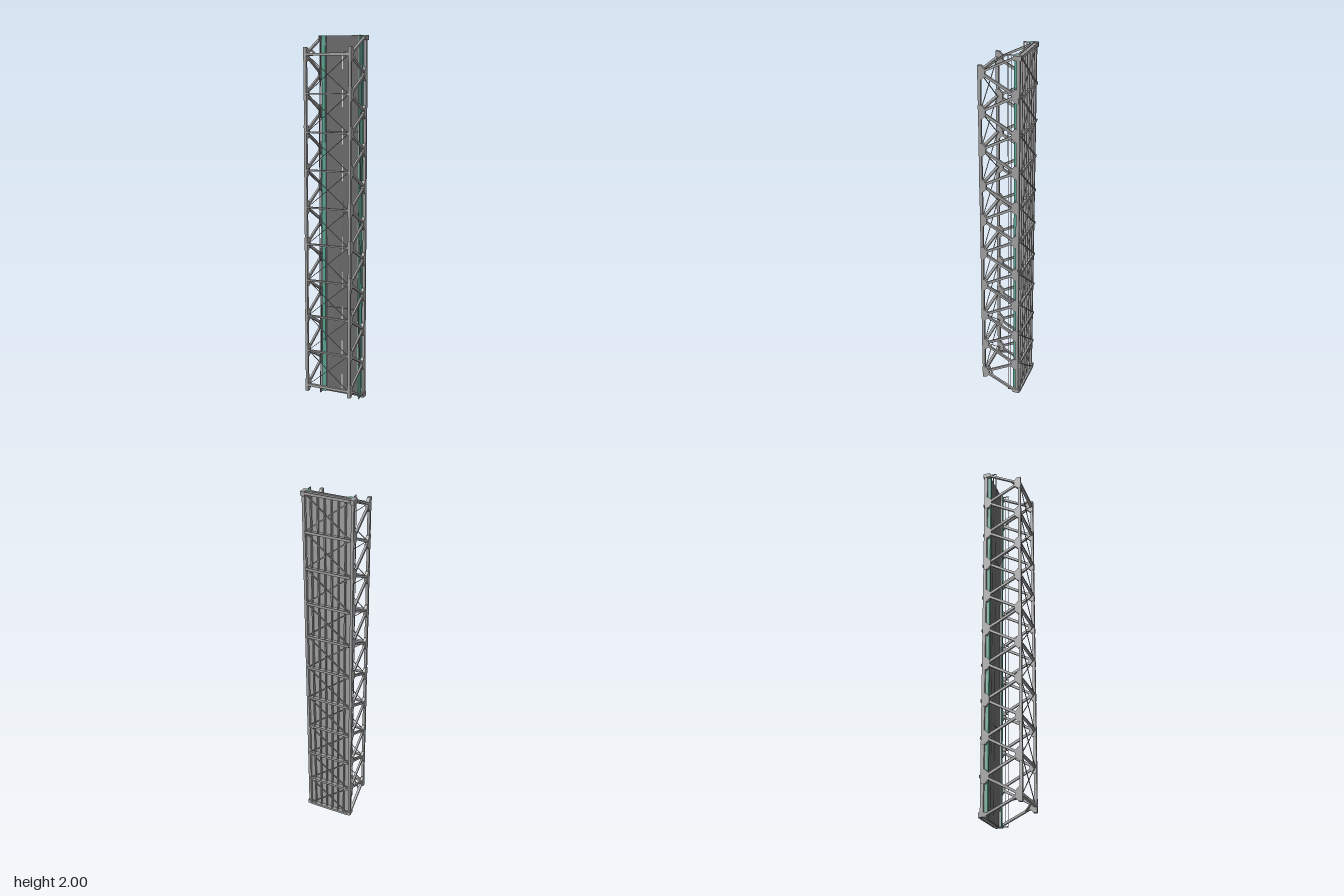
import * as THREE from 'three';

const mat = (name, color) => Object.assign(new THREE.MeshStandardMaterial({ color }), { name });

export function createModel() {
  const steel = mat('steel grey', 0x9c9c9c);
  const asphalt = mat('asphalt grey', 0x666666);
  const green = mat('walkway green', 0x53a08c);
  const white = mat('lane marking', 0xd4d4d4);
  const dark = mat('joint dark', 0x3c3c3c);

  const model = new THREE.Group();
  model.name = 'trussBridge';

  const V = (x, y, z) => new THREE.Vector3(x, y, z);
  const X = V(1, 0, 0), Z = V(0, 0, 1);

  function box(name, material, w, h, d, x, y, z, parent = model) {
    const m = new THREE.Mesh(new THREE.BoxGeometry(w, h, d), material);
    m.name = name;
    m.position.set(x, y, z);
    parent.add(m);
    return m;
  }

  // Straight member from a to b; t is its size along "up", w its size across
  function bar(name, a, b, t, w, up, parent = model) {
    const dir = b.clone().sub(a);
    const m = new THREE.Mesh(new THREE.BoxGeometry(w, t, dir.length()), steel);
    m.name = name;
    m.position.copy(a).add(b).multiplyScalar(0.5);
    dir.normalize();
    const side = up.clone().cross(dir).normalize();
    m.quaternion.setFromRotationMatrix(new THREE.Matrix4().makeBasis(side, dir.clone().cross(side), dir));
    parent.add(m);
    return m;
  }

  // Plate profile in the (z, y) plane, pushed out along x
  function gusset(name, x, y, z, dir, parent) {
    const s = new THREE.Shape();
    [[0, -0.036], [0.02, -0.036], [0.038, -0.016], [0.038, 0.016], [0.02, 0.036], [0, 0.036]]
      .forEach(([u, v], i) => (i ? s.lineTo(u, v) : s.moveTo(u, v)));
    const g = new THREE.ExtrudeGeometry(s, { depth: 0.016, bevelEnabled: false });
    g.translate(0, 0, -0.008);
    g.rotateY(dir > 0 ? -Math.PI / 2 : Math.PI / 2);
    const m = new THREE.Mesh(g, steel);
    m.name = name;
    m.position.set(x, y, z);
    parent.add(m);
  }

  const TX = 0.127, TOP = 0.104, BOT = -0.096;

  // Side trusses
  for (const s of [1, -1]) {
    const truss = new THREE.Group();
    truss.name = s > 0 ? 'leftTruss' : 'rightTruss';
    model.add(truss);
    const x = s * TX;
    box('lowerChord', steel, 0.014, 2, 0.017, x, 1, BOT, truss);
    box('upperChord', steel, 0.014, 1.8, 0.015, x, 1, TOP, truss);
    for (let i = 0; i < 10; i++) {
      const y = 0.1 + i * 0.2;
      const top = V(x, y, TOP - 0.004);
      const ends = [y - 0.1, y + 0.1].map(v => V(x, THREE.MathUtils.clamp(v, 0.008, 1.992), -0.085));
      ends.forEach((e, k) => {
        const post = (i === 0 && k === 0) || (i === 9 && k === 1);
        bar(post ? 'endPost' : 'diagonal', e, top, post ? 0.014 : 0.011, post ? 0.011 : 0.013, X, truss);
      });
      gusset('upperGusset', x, y, 0.112, -1, truss);
      if (i) gusset('lowerGusset', x, y - 0.1, -0.1, 1, truss);
    }
    // Bearings at the four corners
    for (const y of [0.012, 1.988]) box('bearingPlate', steel, 0.02, 0.024, 0.04, x, y, -0.092, truss);

    // Hand rail beside the walkway
    for (const z of [-0.04, -0.056]) box('handRail', steel, 0.003, 2, 0.003, s * 0.118, 1, z);
    for (let i = 0; i <= 10; i++)
      box('railPost', steel, 0.003, 0.005, 0.045, s * 0.118, 0.0025 + i * 0.1995, -0.061);

    // Raised walkway
    box('walkway', green, 0.02, 2, 0.014, s * 0.1085, 1, -0.078);
    box('kerb', steel, 0.003, 2, 0.012, s * 0.097, 1, -0.08);

    // Portal knee braces at both ends
    for (const [post, strut] of [[0.076, 0.1], [1.924, 1.9]])
      bar('kneeBrace', V(s * 0.122, post, 0.052), V(s * 0.07, strut, 0.096), 0.009, 0.007, V(0, 1, 0));
  }

  // Upper struts and crossed wind bracing
  for (let i = 0; i < 10; i++) {
    const y = 0.1 + i * 0.2;
    const end = i === 0 || i === 9;
    box('upperStrut', steel, 0.266, end ? 0.014 : 0.008, 0.016, 0, y, TOP);
    if (i < 9) for (const s of [1, -1])
      bar('upperBracing', V(-s * 0.12, y, TOP), V(s * 0.12, y + 0.2, TOP), 0.004, 0.003, Z);
  }

  // Deck slab, road and markings
  box('deckSlab', steel, 0.236, 2, 0.006, 0, 1, -0.088);
  box('roadSurface', asphalt, 0.192, 2, 0.004, 0, 1, -0.083);
  for (let i = 0; i < 10; i++) box('laneDash', white, 0.005, 0.09, 0.001, 0, 0.07 + i * 0.2, -0.0807);
  for (const y of [0.506, 1.494]) box('deckJoint', dark, 0.192, 0.005, 0.001, 0, y, -0.0807);

  // Stringers, floor beams and lower bracing
  for (let i = 0; i < 6; i++) box('stringer', steel, 0.006, 1.99, 0.015, -0.09 + i * 0.036, 1, -0.0975);
  for (let i = 0; i <= 10; i++) {
    const y = 0.007 + i * 0.1986;
    box('floorBeamWeb', steel, 0.24, 0.005, 0.026, 0, y, -0.1);
    box('floorBeamFlange', steel, 0.24, 0.014, 0.003, 0, y, -0.1135);
    if (i < 10) for (const s of [1, -1])
      bar('lowerBracing', V(-s * 0.12, y, -0.107), V(s * 0.12, y + 0.1986, -0.107), 0.004, 0.005, Z);
  }

  return model;
}
